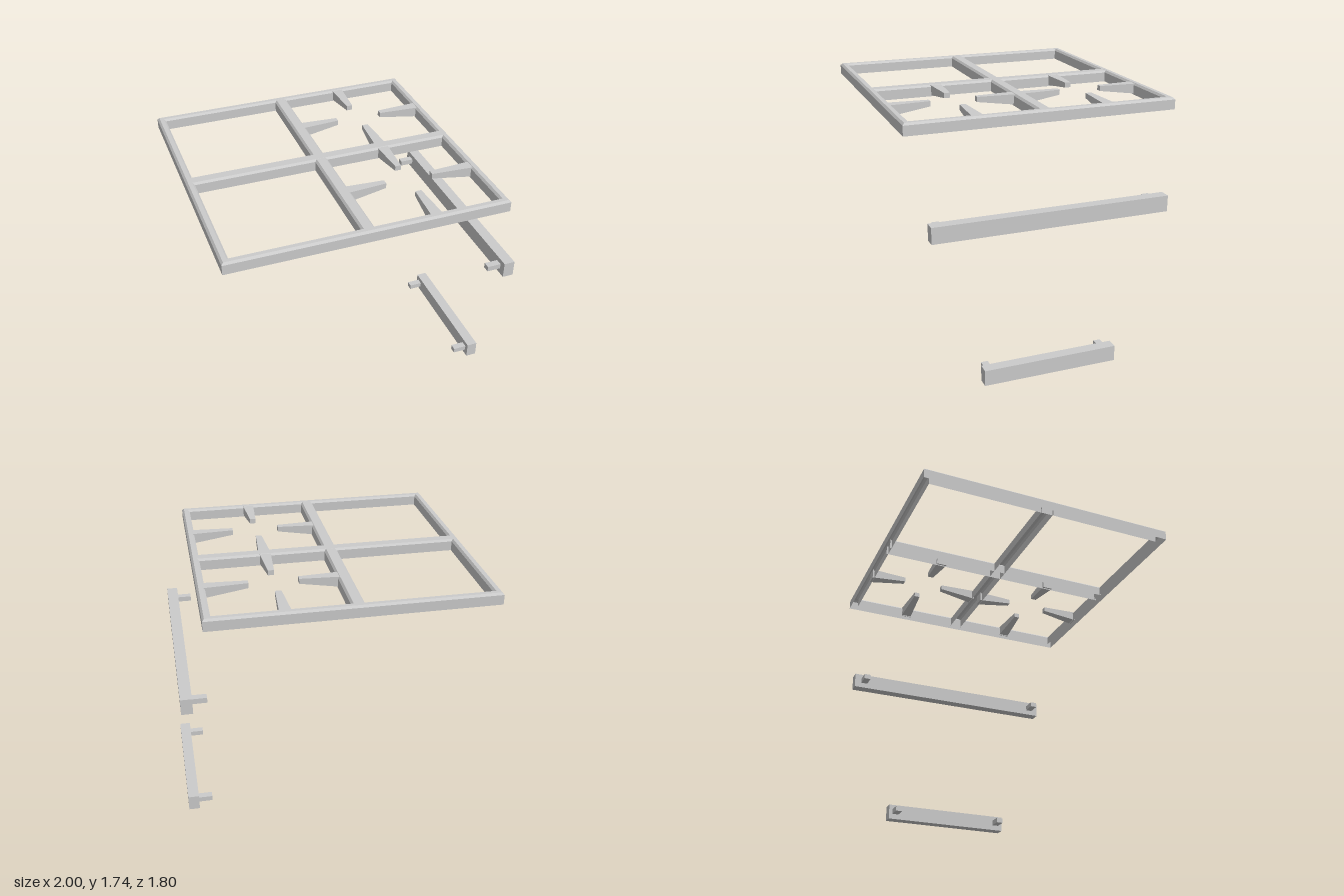
import * as THREE from 'three';

const BOTTOM = 1.662, TOP = 1.74, BEVEL = 0.013;
const material = new THREE.MeshStandardMaterial({ color: 0xcccccc, flatShading: true });
const shellMaterial = new THREE.MeshStandardMaterial({ color: 0xcccccc, flatShading: true, side: THREE.DoubleSide });

// Bevelled channel, open underneath: [distance across, height]
const channel = (w) => [
  [0, BOTTOM], [0, TOP - BEVEL], [BEVEL, TOP],
  [w - BEVEL, TOP], [w, TOP - BEVEL], [w, BOTTOM],
];

// Joins successive rings of points with quads
function skin(rings, closed) {
  const pos = [];
  const count = closed ? rings.length : rings.length - 1;
  for (let i = 0; i < count; i++) {
    const a = rings[i], b = rings[(i + 1) % rings.length];
    for (let j = 0; j < a.length - 1; j++) {
      pos.push(...a[j], ...b[j], ...b[j + 1], ...a[j], ...b[j + 1], ...a[j + 1]);
    }
  }
  const geo = new THREE.BufferGeometry();
  geo.setAttribute('position', new THREE.Float32BufferAttribute(pos, 3));
  geo.computeVertexNormals();
  return geo;
}

function box(name, x0, x1, y0, y1, z0, z1) {
  const mesh = new THREE.Mesh(new THREE.BoxGeometry(x1 - x0, y1 - y0, z1 - z0), material);
  mesh.position.set((x0 + x1) / 2, (y0 + y1) / 2, (z0 + z1) / 2);
  mesh.name = name;
  return mesh;
}

// Pan support finger: tapers in width and rises underneath towards its tip
function finger(x, z, length, angle) {
  const height = 0.07;
  const geo = new THREE.BoxGeometry(1, height, length).translate(0, -height / 2, length / 2);
  const p = geo.attributes.position;
  for (let i = 0; i < p.count; i++) {
    const tip = p.getZ(i) > length / 2;
    p.setX(i, p.getX(i) * (tip ? 0.04 : 0.075));
    if (tip && p.getY(i) < -0.01) p.setY(i, -0.034);
  }
  geo.computeVertexNormals();
  const mesh = new THREE.Mesh(geo, material);
  mesh.position.set(x, TOP - 0.003, z);
  mesh.rotation.y = angle;
  mesh.name = 'supportFinger';
  return mesh;
}

// Rail with two pegs on its inner side
function handle(name, y, z0, z1, pegs) {
  const group = new THREE.Group();
  group.name = name;
  group.add(box('rail', 0.925, 1, y, y + 0.108, z0, z1));
  for (const z of pegs) group.add(box('peg', 0.83, 0.925, y + 0.038, y + 0.074, z - 0.024, z + 0.024));
  return group;
}

export function createModel() {
  const model = new THREE.Group();
  const grate = new THREE.Group();
  grate.name = 'grate';
  model.add(grate);

  const addShell = (name, rings, closed) => {
    const mesh = new THREE.Mesh(skin(rings, closed), shellMaterial);
    mesh.name = name;
    grate.add(mesh);
  };

  // Outer frame: the channel swept round four mitred corners
  const corners = [[-1, -0.9], [-1, 0.9], [0.835, 0.9], [0.835, -0.9]];
  addShell('outerFrame', corners.map(([x, z]) =>
    channel(0.053).map(([d, y]) => [x - Math.sign(x) * d, y, z - Math.sign(z) * d])), true);

  // Crossing bars
  addShell('crossBar', [0.796, -0.96].map((x) =>
    channel(0.085).map(([d, y]) => [x, y, -0.05 + d])), false);
  addShell('middleBar', [-0.86, 0.86].map((z) =>
    channel(0.085).map(([d, y]) => [-0.14 + d, y - 0.0005, z])), false);

  // Four fingers round each of the two burners
  for (const [zBack, zFront, zMid] of [[-0.86, -0.035, -0.44], [0.02, 0.86, 0.43]]) {
    grate.add(
      finger(0.345, zBack, 0.262, 0),
      finger(0.345, zFront, 0.265, Math.PI),
      finger(-0.07, zMid, 0.26, Math.PI / 2),
      finger(0.796, zMid, 0.286, -Math.PI / 2),
    );
  }

  // Handles
  model.add(handle('upperHandle', 1.033, -0.792, 0.794, [-0.717, 0.722]));
  model.add(handle('lowerHandle', 0, -0.46, 0.464, [-0.41, 0.409]));
  return model;
}
